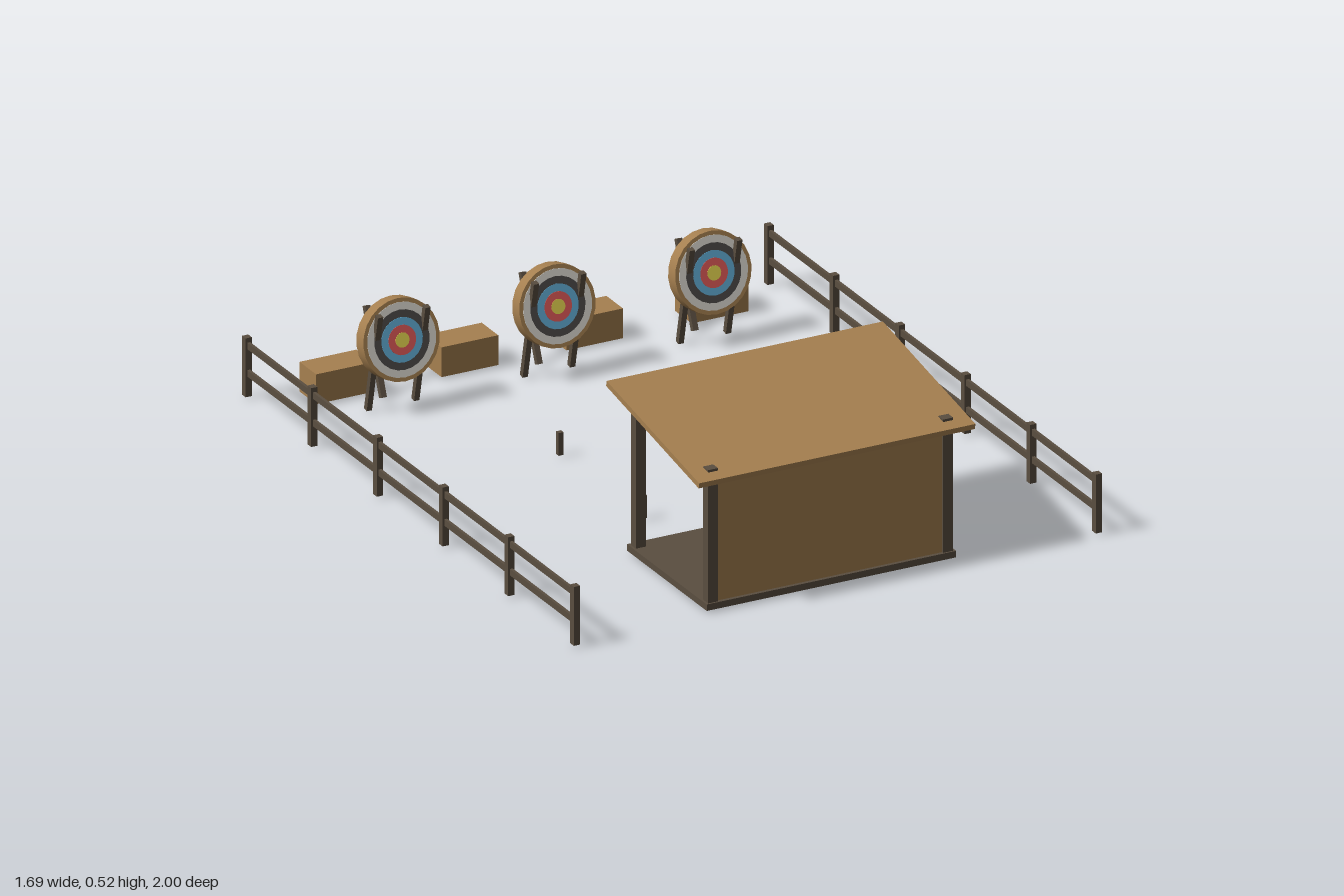
import * as THREE from 'three';

const mat = (name, color) => {
  const m = new THREE.MeshStandardMaterial({ color });
  m.name = name;
  return m;
};

export function createModel() {
  const root = new THREE.Group();
  root.name = 'archeryRange';
  const wood = mat('lightWood', 0xa68050);
  const dark = mat('darkWood', 0x5a4e40);
  const white = mat('white', 0xdcd8d0);
  const black = mat('charcoal', 0x4c4a48);
  const blue = mat('blue', 0x62aed6);
  const red = mat('red', 0xe05a58);
  const yellow = mat('yellow', 0xe8d850);
  const grey = mat('grey', 0x85817c);

  const add = (parent, name, geo, m, x = 0, y = 0, z = 0) => {
    const mesh = new THREE.Mesh(geo, m);
    mesh.name = name;
    mesh.position.set(x, y, z);
    parent.add(mesh);
    return mesh;
  };
  const box = (parent, name, m, w, h, d, x, y, z) =>
    add(parent, name, new THREE.BoxGeometry(w, h, d), m, x, y, z);
  const group = (name) => {
    const g = new THREE.Group();
    g.name = name;
    root.add(g);
    return g;
  };
  // Square bar between two points in a plane of constant x
  const bar = (parent, name, x, y0, z0, y1, z1, t) => {
    const m = box(parent, name, dark, t, Math.hypot(y1 - y0, z1 - z0), t, x, (y0 + y1) / 2, (z0 + z1) / 2);
    m.rotation.x = Math.atan2(z1 - z0, y1 - y0);
  };
  // Disc whose axis runs along z
  const disc = (r, t) => new THREE.CylinderGeometry(r, r, t, 24).rotateX(Math.PI / 2);

  // Side fences
  for (const s of [-1, 1]) {
    const fence = group(s > 0 ? 'leftFence' : 'rightFence');
    for (let i = 0; i < 6; i++) {
      box(fence, 'fencePost', dark, 0.02, 0.182, 0.022, s * 0.837, 0.099, 0.988 - i * 0.395);
    }
    for (const y of [0.081, 0.166]) box(fence, 'fenceRail', dark, 0.009, 0.02, 1.976, s * 0.837, y, 0);
  }

  // Shelter
  const hut = group('shelter');
  box(hut, 'floor', dark, 0.8, 0.02, 0.48, 0, 0.018, 0.72);
  for (const x of [-0.377, 0.377]) {
    for (const z of [0.505, 0.94]) box(hut, 'shelterPost', dark, 0.032, 0.414, 0.03, x, 0.233, z);
  }
  box(hut, 'postPatch', wood, 0.004, 0.073, 0.03, 0.394, 0.403, 0.505);
  box(hut, 'wall', wood, 0.724, 0.39, 0.018, 0, 0.222, 0.94);
  const roof = box(hut, 'roof', wood, 0.886, 0.017, 0.566, 0, 0.467, 0.715);
  roof.rotation.x = 0.178;

  // Bench
  const bench = group('bench');
  box(bench, 'benchSeat', dark, 0.3, 0.016, 0.11, 0.11, 0.15, 0.775);
  for (const x of [-0.01, 0.23]) box(bench, 'benchLeg', dark, 0.02, 0.138, 0.09, x, 0.075, 0.775);

  // Arrow barrel
  const barrel = group('arrowBarrel');
  barrel.position.set(-0.27, 0.028, 0.82);
  add(barrel, 'barrel', new THREE.LatheGeometry([
    [0, 0], [0.038, 0], [0.045, 0.06], [0.04, 0.125], [0.034, 0.125], [0.034, 0.11], [0, 0.11],
  ].map(([r, y]) => new THREE.Vector2(r, y)), 10).toNonIndexed(), dark).geometry.computeVertexNormals();
  for (let i = 0; i < 6; i++) {
    const a = i * Math.PI / 3;
    const x = 0.022 * Math.cos(a), z = 0.022 * Math.sin(a);
    const top = 0.205 + 0.02 * (i % 2);
    add(barrel, 'arrowShaft', new THREE.CylinderGeometry(0.003, 0.003, top - 0.1, 6), dark, x, (top + 0.1) / 2, z);
    box(barrel, 'fletching', dark, 0.013, 0.03, 0.002, x, top - 0.02, z);
    box(barrel, 'fletching', dark, 0.002, 0.03, 0.013, x, top - 0.02, z);
  }

  // Targets on three-legged stands
  for (const x of [-0.5, 0, 0.5]) {
    const stand = group('targetStand');
    stand.position.x = x;
    const target = new THREE.Group();
    target.name = 'target';
    target.position.set(0, 0.222, -0.71);
    target.rotation.x = -0.2;
    stand.add(target);
    add(target, 'targetButt', disc(0.122, 0.044), wood);
    [white, black, blue, red, yellow].forEach((m, i) =>
      add(target, m.name + 'Ring', disc(0.11 - i * 0.022, 0.002), m, 0, 0, 0.0225 + i * 0.0012));
    add(target, 'backPatch', disc(0.088, 0.002), grey, 0, 0, -0.0225);
    for (const s of [-1, 1]) bar(stand, 'frontLeg', s * 0.076, 0.004, -0.748, 0.318, -0.68, 0.017);
    bar(stand, 'backLeg', 0, 0.004, -0.8, 0.25, -0.9, 0.017);
  }

  // Crates behind the targets
  for (const x of [-0.602, -0.2, 0.2, 0.602]) box(root, 'crate', wood, 0.182, 0.092, 0.1, x, 0.054, -0.89);

  // Shooting line stakes
  for (const x of [-0.25, 0.25]) {
    for (const z of [-0.205, 0.297]) box(root, 'stake', dark, 0.016, 0.07, 0.016, x, 0.043, z);
  }
  return root;
}
